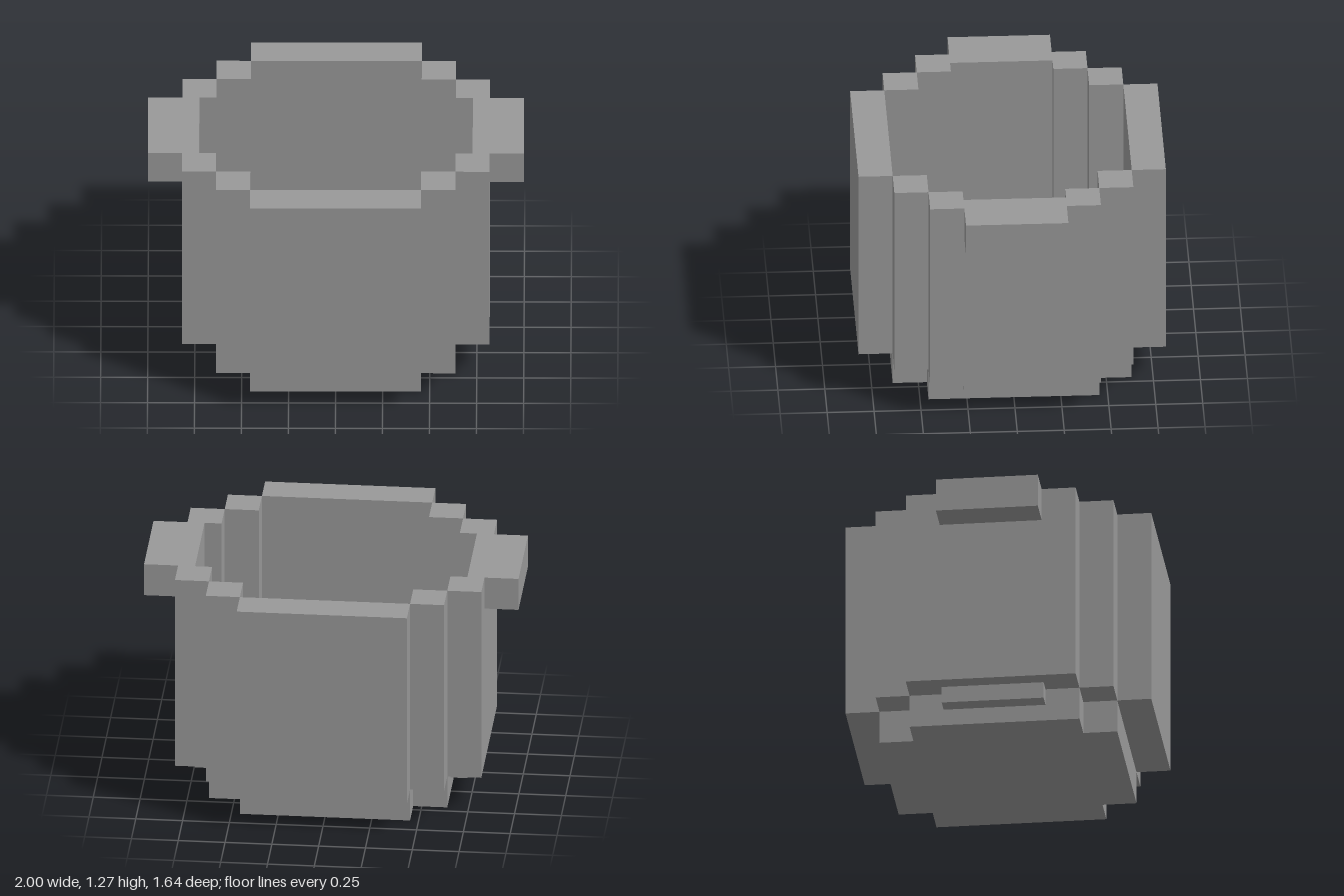
import * as THREE from 'three';

// One block unit: the model is 11 units wide.
const U = 2 / 11;

export function createModel() {
  const model = new THREE.Group();
  const grey = new THREE.MeshStandardMaterial({ color: 0x999999 });
  grey.name = 'grey';

  // Box given by its low and high corners, in block units.
  const block = (name, [x0, y0, z0], [x1, y1, z1]) => {
    const geometry = new THREE.BoxGeometry((x1 - x0) * U, (y1 - y0) * U, (z1 - z0) * U);
    geometry.translate((x0 + x1) * U / 2, (y0 + y1) * U / 2, (z0 + z1) * U / 2);
    const mesh = new THREE.Mesh(geometry, grey);
    mesh.name = name;
    model.add(mesh);
  };

  // The same box placed on the +x or -x side.
  const sideBlock = (name, s, [x0, y0, z0], [x1, y1, z1]) =>
    block(name, [Math.min(s * x0, s * x1), y0, z0], [Math.max(s * x0, s * x1), y1, z1]);

  // Floor with notched corners
  block('floor', [-2.5, 0, -3.5], [2.5, 1, 3.5]);

  // Front and back walls
  block('frontWall', [-2.5, 1, 3.5], [2.5, 7, 4.5]);
  block('backWall', [-2.5, 1, -4.5], [2.5, 7, -3.5]);

  for (const s of [1, -1]) {
    const side = s > 0 ? 'left' : 'right';
    sideBlock(side + 'Floor', s, [2.5, 0, -2.5], [3.5, 1, 2.5]);

    // Side wall, thinner in the middle, with a ledge under the recess
    sideBlock(side + 'Wall', s, [4, 1, -1.5], [4.5, 7, 1.5]);
    sideBlock(side + 'Ledge', s, [3.5, 0.5, -1.5], [4, 1, 1.5]);

    // Handle at the rim
    sideBlock(side + 'Handle', s, [4.5, 6, -1.5], [5.5, 7, 1.5]);

    // Stepped corners
    for (const [end, z] of [['Front', 1.5], ['Back', -2.5]]) {
      sideBlock(side + end + 'WallEnd', s, [3.5, 1, z], [4.5, 7, z + 1]);
      const c = z > 0 ? 2.5 : -3.5;
      sideBlock(side + end + 'Corner', s, [2.5, 1, c], [3.5, 7, c + 1]);
    }
  }
  return model;
}
